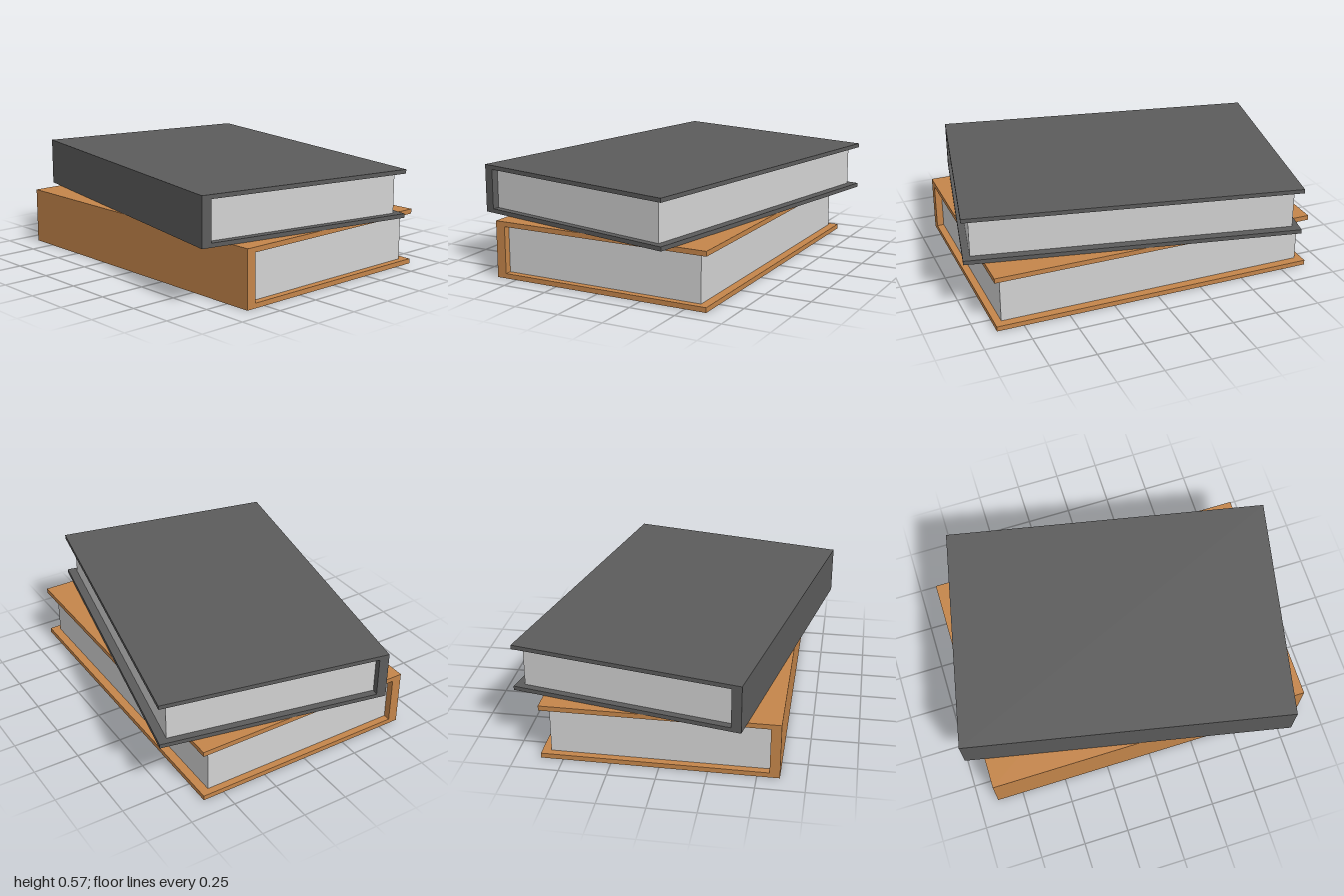
import * as THREE from 'three';

const W = 1.234, D = 1.79;          // cover width and length
const SPINE = 0.053;                // spine thickness
const PAGE_X = 0.57, PAGE_Z = 0.857; // page block's open edge and half length

// C-shaped cover (two boards joined by a spine) wrapped round a page block
function makeBook(name, height, board, coverMaterial, pageMaterial) {
  const book = new THREE.Group();
  book.name = name;
  const x = W / 2;

  const section = new THREE.Shape([
    [-x, 0], [x, 0], [x, board], [-x + SPINE, board],
    [-x + SPINE, height - board], [x, height - board], [x, height], [-x, height],
  ].map(([px, py]) => new THREE.Vector2(px, py)));
  const coverGeometry = new THREE.ExtrudeGeometry(section, { depth: D, bevelEnabled: false });
  coverGeometry.translate(0, 0, -D / 2);
  const cover = new THREE.Mesh(coverGeometry, coverMaterial);
  cover.name = 'cover';

  const inner = -x + SPINE;
  const pages = new THREE.Mesh(
    new THREE.BoxGeometry(PAGE_X - inner, height - 2 * board, PAGE_Z * 2), pageMaterial);
  pages.position.set((PAGE_X + inner) / 2, height / 2, 0);
  pages.name = 'pages';

  book.add(cover, pages);
  return book;
}

export function createModel() {
  const tan = new THREE.MeshStandardMaterial({ name: 'tan cover', color: 0xc4854a });
  const grey = new THREE.MeshStandardMaterial({ name: 'dark grey cover', color: 0x5c5c5c });
  const paper = new THREE.MeshStandardMaterial({ name: 'paper', color: 0xd2d2d2 });

  const lower = makeBook('lowerBook', 0.308, 0.0265, tan, paper);

  // Thinner book laid on top, turned slightly
  const upper = makeBook('upperBook', 0.26, 0.0224, grey, paper);
  upper.position.y = 0.308;
  upper.rotation.y = -0.2;

  const model = new THREE.Group();
  model.name = 'bookStack';
  model.add(lower, upper);
  return model;
}
